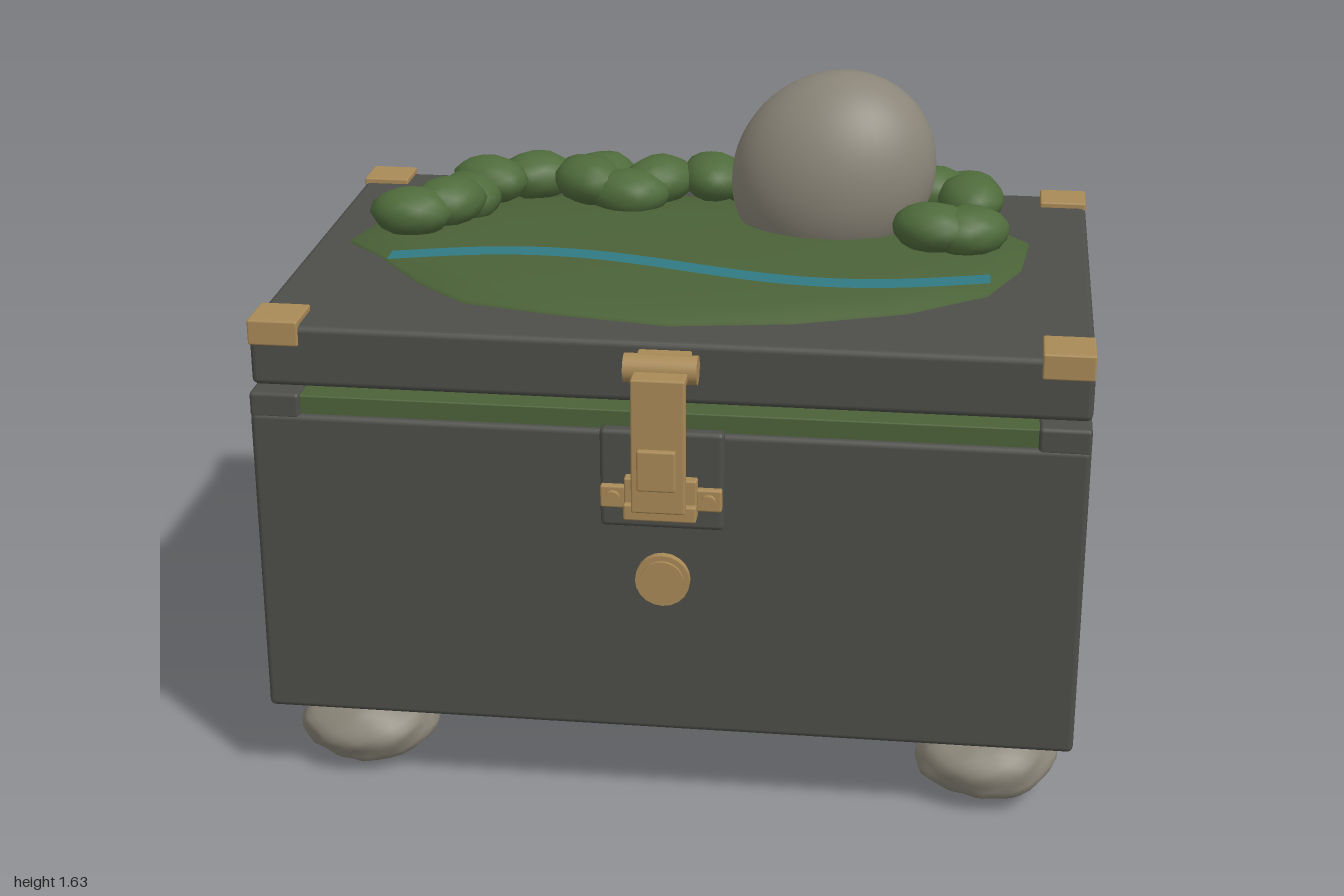
import * as THREE from 'three';
import { RoundedBoxGeometry } from 'three/addons/geometries/RoundedBoxGeometry.js';
import { mergeVertices } from 'three/addons/utils/BufferGeometryUtils.js';

const paint = (name, color, side = THREE.FrontSide) => {
  const m = new THREE.MeshStandardMaterial({ color, side });
  m.name = name;
  return m;
};

export function createModel() {
  const slate = paint('dark slate', 0x4d4d49);
  const brass = paint('brass', 0xa98a57);
  const moss = paint('moss green', 0x4b6238);
  const leaf = paint('leaf green', 0x4f6b3b);
  const water = paint('water teal', 0x317a84, THREE.DoubleSide);
  const stone = paint('stone', 0x8a8578);
  const root = new THREE.Group();
  root.name = 'chest';
  const CX = 0.015; // middle of the chest

  const add = (name, geo, mat, parent = root) => {
    const mesh = new THREE.Mesh(geo, mat);
    mesh.name = name;
    parent.add(mesh);
    return mesh;
  };
  // rounded box given by its extents
  const box = (name, mat, x0, x1, y0, y1, z0, z1, r = 0.005) => {
    const geo = new RoundedBoxGeometry(x1 - x0, y1 - y0, z1 - z0, 2, r);
    const mesh = add(name, geo, mat);
    mesh.position.set((x0 + x1) / 2, (y0 + y1) / 2, (z0 + z1) / 2);
    return mesh;
  };
  // cylinder along x, y or z
  const rod = (name, mat, r, len, axis, x, y, z, sides = 24) => {
    const geo = new THREE.CylinderGeometry(r, r, len, sides);
    if (axis === 'x') geo.rotateZ(Math.PI / 2);
    if (axis === 'z') geo.rotateX(Math.PI / 2);
    const mesh = add(name, geo, mat);
    mesh.position.set(x, y, z);
    return mesh;
  };
  // sphere roughened by layered waves, smooth shaded
  const lump = (name, mat, rx, ry, rz, seed, rough, detail = 3) => {
    let geo = new THREE.IcosahedronGeometry(1, detail);
    geo.deleteAttribute('normal');
    geo.deleteAttribute('uv');
    geo = mergeVertices(geo, 1e-3);
    const p = geo.attributes.position;
    for (let i = 0; i < p.count; i++) {
      const x = p.getX(i), y = p.getY(i), z = p.getZ(i);
      const k = 1 + rough * (Math.sin(5 * x + seed) * Math.cos(4 * z - seed * 1.7)
        + 0.7 * Math.sin(8 * y + 6 * z + seed * 2.3) + 0.5 * Math.sin(13 * x - 9 * y + seed));
      p.setXYZ(i, x * k * rx, y * k * ry, z * k * rz);
    }
    geo.computeVertexNormals();
    return add(name, geo, mat);
  };

  // body panels and base
  box('base', slate, -0.885, 0.91, 0.19, 0.9, -0.58, 0.525, 0.01);
  box('frontPanel', slate, -0.965, 0.995, 0.22, 0.998, 0.53, 0.635, 0.014);
  box('backPanel', slate, -0.965, 0.995, 0.22, 0.998, -0.68, -0.58, 0.014);
  box('sidePanelRight', slate, -0.945, -0.8, 0.22, 0.998, -0.585, 0.535, 0.01);
  box('sidePanelLeft', slate, 0.83, 0.975, 0.22, 0.998, -0.585, 0.535, 0.01);

  // green seal around the opening
  box('sealLong', moss, -0.85, 0.88, 0.985, 1.043, -0.66, 0.622, 0.004);
  box('sealWide', moss, -0.935, 0.965, 0.985, 1.042, -0.565, 0.52, 0.004);

  // lid
  box('lid', slate, -0.965, 0.995, 1.057, 1.208, -0.65, 0.605, 0.016);

  // corner blocks on the body and brass caps on the lid
  for (const s of [-1, 1]) {
    const x = CX + s * 0.92;
    for (const [name, z, cap, edge] of [['front', 0.583, 0.545, 0.607], ['back', -0.63, -0.598, -0.652]]) {
      box(name + 'CornerBlock', slate, x - 0.06, x + 0.06, 0.985, 1.05, z - 0.05, z + 0.05, 0.01);
      box(name + 'CapTop', brass, x - 0.06, x + 0.06, 1.2, 1.222, cap - 0.06, cap + 0.06);
      box(name + 'CapFace', brass, x - 0.06, x + 0.06, 1.16, 1.222, edge - 0.006, edge + 0.006);
    }
  }

  // rough stone feet
  [[-0.76, 0.455], [0.79, 0.455], [-0.76, -0.505], [0.79, -0.505]].forEach(([x, z], i) => {
    lump('foot', stone, 0.17, 0.096, 0.147, i * 2.1 + 1, 0.035, 5).position.set(x, 0.107, z);
  });

  // front latch
  box('latchPlate', slate, -0.13, 0.16, 0.765, 1.01, 0.625, 0.66, 0.012);
  rod('latchKnuckle', brass, 0.034, 0.17, 'x', CX, 1.165, 0.66);
  box('latchMount', brass, -0.045, 0.08, 1.14, 1.19, 0.6, 0.65);
  box('latchArm', brass, -0.045, 0.08, 1.145, 1.168, 0.66, 0.745);
  box('latchStrap', brass, -0.045, 0.08, 0.84, 1.165, 0.715, 0.745);
  box('latchButton', brass, -0.03, 0.06, 0.9, 1.0, 0.74, 0.758);
  box('latchKeeper', brass, -0.07, 0.1, 0.8, 0.9, 0.655, 0.685);
  box('keeperLip', brass, -0.07, 0.1, 0.8, 0.84, 0.66, 0.7);
  for (const s of [-1, 1]) {
    const x = CX + s * 0.112;
    box('keeperEar', brass, x - 0.03, x + 0.03, 0.82, 0.875, 0.655, 0.676);
    rod('keeperBolt', brass, 0.018, 0.016, 'z', x, 0.847, 0.68, 12);
  }

  // round lock
  rod('lockRim', brass, 0.065, 0.02, 'z', CX, 0.627, 0.644, 20);
  rod('lockFace', brass, 0.052, 0.034, 'z', CX, 0.627, 0.645, 24);

  // back hinges
  for (const x of [-0.58, 0.61]) {
    rod('hingePin', brass, 0.037, 0.22, 'x', x, 1.05, -0.722);
    box('hingeUpperLeaf', brass, x - 0.072, x + 0.072, 1.06, 1.142, -0.732, -0.64);
    box('hingeLowerLeaf', brass, x - 0.072, x + 0.072, 0.82, 1.04, -0.707, -0.675);
  }

  // ring pull on the right side
  rod('ringBoss', brass, 0.04, 0.04, 'x', -0.96, 0.73, -0.03);
  const ring = add('ringPull', new THREE.TorusGeometry(0.066, 0.011, 10, 32), brass);
  ring.rotation.y = Math.PI / 2;
  ring.position.set(-0.988, 0.655, -0.03);

  // low grassy mound: rings of one outline, shrinking as they rise
  const outline = [[-0.88, -0.02], [-0.78, 0.08], [-0.64, 0.27], [-0.5, 0.4], [-0.27, 0.455], [0.01, 0.5],
    [0.3, 0.45], [0.56, 0.35], [0.75, 0.2], [0.83, 0], [0.85, -0.2], [0.75, -0.33], [0.5, -0.46],
    [0.25, -0.52], [-0.05, -0.5], [-0.37, -0.48], [-0.58, -0.42], [-0.72, -0.32], [-0.84, -0.19]];
  const rings = [[1, 1.195], [0.99, 1.217], [0.85, 1.235], [0.6, 1.246], [0.3, 1.25], [0, 1.25]];
  const pos = [], idx = [], n = outline.length;
  rings.forEach(([k, y], r) => outline.forEach(([x, z], i) => {
    pos.push(x * k, y, z * k);
    if (r === 0) return;
    const j = (i + 1) % n, a = (r - 1) * n + i, b = (r - 1) * n + j;
    idx.push(a, b, r * n + j, a, r * n + j, r * n + i);
  }));
  const moundGeo = new THREE.BufferGeometry();
  moundGeo.setAttribute('position', new THREE.Float32BufferAttribute(pos, 3));
  moundGeo.setIndex(idx);
  moundGeo.computeVertexNormals();
  for (let i = (rings.length - 1) * n; i < rings.length * n; i++) moundGeo.attributes.normal.setXYZ(i, 0, 1, 0);
  add('mound', moundGeo, moss);

  // winding stream, a flat ribbon
  const stream = new THREE.PlaneGeometry(1.47, 0.065, 40, 1).rotateX(-Math.PI / 2);
  const sp = stream.attributes.position;
  for (let i = 0; i < sp.count; i++) {
    const t = sp.getX(i) / 1.47 + 0.5;
    sp.setXYZ(i, -0.72 + 1.47 * t, 1.254, sp.getZ(i) + 0.198 - 0.075 * Math.sin(t * Math.PI * 2));
  }
  stream.computeVertexNormals();
  add('stream', stream, water);

  // boulder, leaning slightly to the left and narrower at the top
  const rock = new THREE.SphereGeometry(1, 40, 28);
  const rp = rock.attributes.position;
  for (let i = 0; i < rp.count; i++) {
    const x = rp.getX(i), y = rp.getY(i), z = rp.getZ(i);
    rp.setXYZ(i, 0.26 * x + 0.025 * y, 0.262 * y, 0.208 * z * (1 - 0.03 * y));
  }
  rock.computeVertexNormals();
  add('boulder', rock, stone).position.set(0.34, 1.373, -0.255);

  // bushes around the back of the mound
  const bushes = [[-0.72, -0.06], [-0.64, -0.13], [-0.61, -0.24], [-0.57, -0.33], [-0.46, -0.42], [-0.29, -0.45],
    [-0.31, -0.35], [-0.2, -0.32], [-0.13, -0.4], [0.01, -0.44], [0.13, -0.43], [0.22, -0.5], [0.38, -0.48],
    [0.49, -0.44], [0.58, -0.38], [0.68, -0.4], [0.69, -0.31], [0.6, -0.08], [0.69, -0.09]];
  bushes.forEach(([x, z], i) => {
    const bush = lump('bush', leaf, 0.105, 0.063, 0.085, i * 1.9, 0.03, 2);
    bush.rotation.y = i * 0.9;
    bush.position.set(x, 1.287 + 0.012 * Math.sin(i * 2.4), z);
  });

  return root;
}
